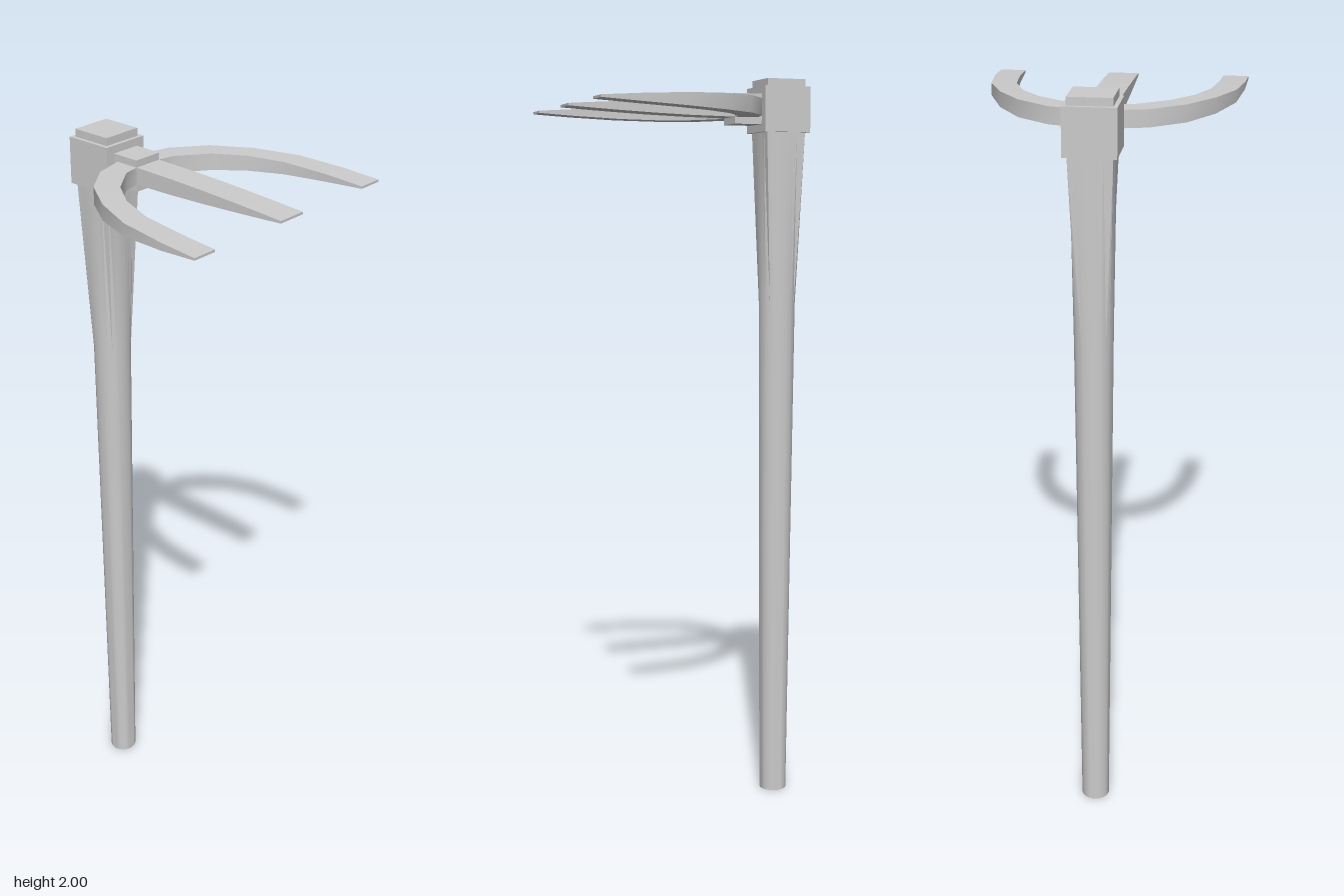
import * as THREE from 'three';
import { toCreasedNormals } from 'three/addons/utils/BufferGeometryUtils.js';

const material = new THREE.MeshStandardMaterial({ color: 0xcccccc });
const HANDLE_Z = -0.267, HEAD_Y = 1.92;

// Skin a list of equal-sized rings [x, y, z] and cap both ends
function loft(rings, crease = 0.6) {
  const n = rings[0].length, index = [];
  for (let i = 0; i < rings.length - 1; i++) {
    for (let j = 0; j < n; j++) {
      const a = i * n + j, b = i * n + (j + 1) % n;
      index.push(a, b, a + n, b, b + n, a + n);
    }
  }
  const end = (rings.length - 1) * n;
  for (let j = 1; j < n - 1; j++) {
    index.push(0, j + 1, j, end, end + j, end + j + 1);
  }
  const g = new THREE.BufferGeometry();
  g.setAttribute('position', new THREE.Float32BufferAttribute(rings.flat(2), 3));
  g.setIndex(index);
  return toCreasedNormals(g, crease);
}

// Half thickness of the tines, thinning to an edge at the front
function halfHeight(z) {
  const t = Math.max(0, (z + 0.12) / 0.453);
  return 0.022 - 0.019 * Math.pow(t, 1.6);
}

export function createModel() {
  const group = new THREE.Group();
  const add = (name, geometry, x = 0, y = 0, z = 0) => {
    const mesh = new THREE.Mesh(geometry, material);
    mesh.name = name;
    mesh.position.set(x, y, z);
    group.add(mesh);
  };

  // Handle: round below, blending to a square head end
  const ring = (y, r, square) => Array.from({ length: 24 }, (_, j) => {
    const a = j / 24 * Math.PI * 2, c = Math.cos(a), s = Math.sin(a);
    const k = square ? r / Math.max(Math.abs(c), Math.abs(s)) : r;
    return [k * c, y, -k * s];
  });
  add('handle', loft([
    ring(0, 0.038), ring(1.4, 0.05), ring(1.86, 0.055, true), ring(2, 0.055, true),
  ]), 0, 0, HANDLE_Z);

  // Collar around the handle and the socket joining the tines
  add('collar', new THREE.BoxGeometry(0.131, 0.12, 0.131), 0, HEAD_Y, HANDLE_Z);
  add('socket', new THREE.BoxGeometry(0.081, 0.08, 0.081), 0, HEAD_Y, -0.165);

  // Middle tine
  add('middleTine', loft([-0.13, 0, 0.1, 0.2, 0.27, 0.333].map((z) => {
    const h = halfHeight(z), w = 0.04;
    return [[-w, -h, z], [w, -h, z], [w, h, z], [-w, h, z]];
  })), 0, HEAD_Y, 0);

  // Curved outer tines: [outer x, outer z, inner x, inner z], mirrored
  const half = [
    [0.04, -0.19, 0.04, -0.125],
    [0.122, -0.169, 0.085, -0.116],
    [0.207, -0.106, 0.163, -0.06],
    [0.271, -0.012, 0.216, 0.013],
    [0.315, 0.1, 0.25, 0.107],
    [0.331, 0.23, 0.264, 0.23],
    [0.335, 0.333, 0.268, 0.333],
  ];
  const mirrored = half.map(([ox, oz, ix, iz]) => [-ox, oz, -ix, iz]).reverse();
  add('outerTines', loft([...mirrored, ...half].map(([ox, oz, ix, iz]) => {
    const ho = halfHeight(oz), hi = halfHeight(iz);
    return [[ix, -hi, iz], [ox, -ho, oz], [ox, ho, oz], [ix, hi, iz]];
  })), 0, HEAD_Y, 0);

  return group;
}
